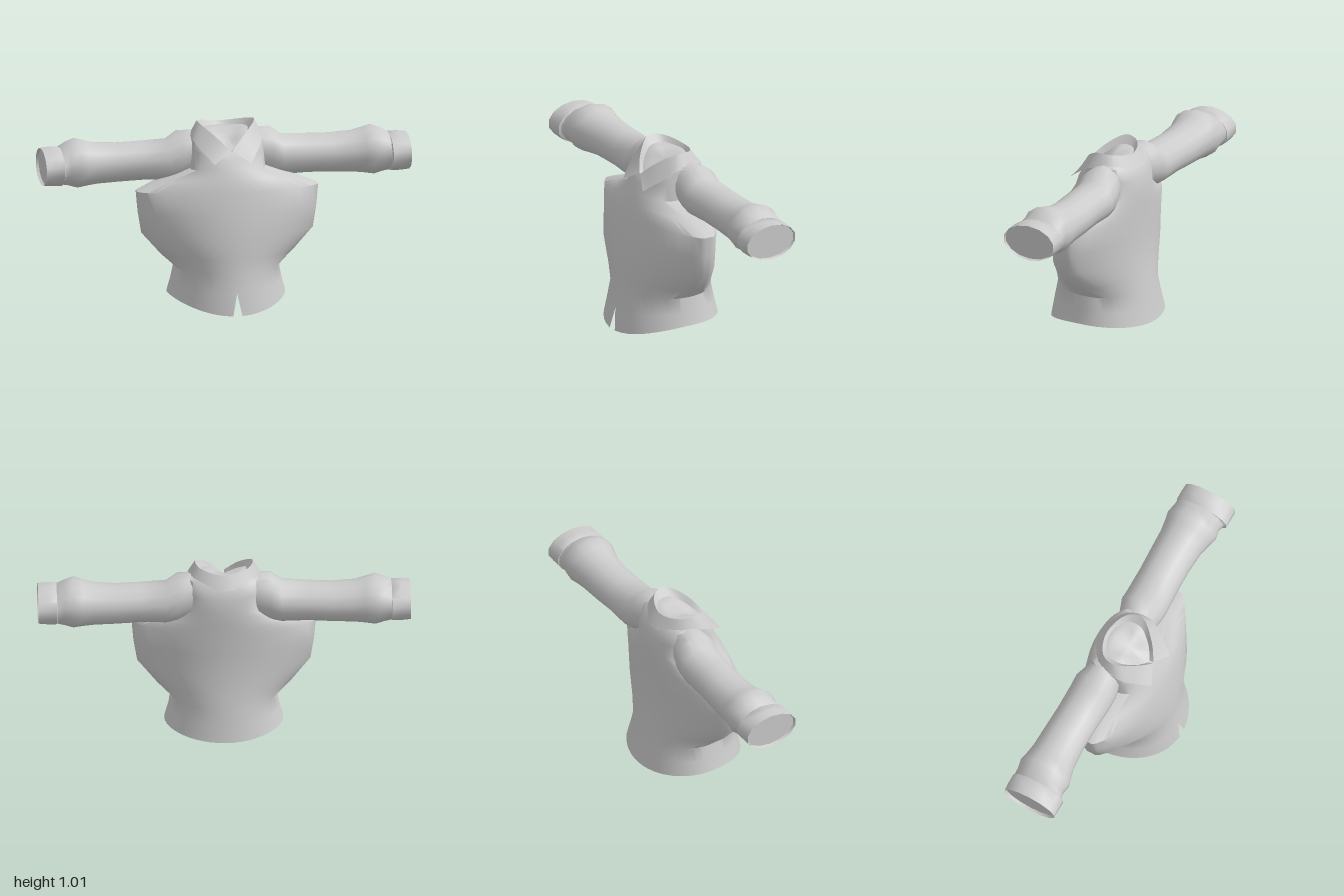
import * as THREE from 'three';
import { mergeVertices, toCreasedNormals } from 'three/addons/utils/BufferGeometryUtils.js';

const fabric = new THREE.MeshStandardMaterial({ color: 0xcccccc, side: THREE.DoubleSide });

// Skin a list of cross-sections (arrays of Vector3 of equal length)
function loft(name, rows, crease) {
  const n = rows[0].length;
  const index = [];
  for (let r = 0; r < rows.length - 1; r++) {
    for (let c = 0; c < n - 1; c++) {
      const a = r * n + c, d = a + n;
      index.push(a, a + 1, d, a + 1, d + 1, d);
    }
  }
  let geometry = new THREE.BufferGeometry().setFromPoints(rows.flat());
  geometry.setIndex(index);
  geometry = toCreasedNormals(mergeVertices(geometry, 1e-4), crease);
  const mesh = new THREE.Mesh(geometry, fabric);
  mesh.name = name;
  return mesh;
}

// Torso rows: y at front, side, back; half width; z at front, side, back; pinch of the sides
const TORSO = [
  [0.00, 0.07, 0.04, 0.32, 0.30, -0.04, -0.30, 1],
  [0.12, 0.14, 0.13, 0.30, 0.28, -0.04, -0.28, 1],
  [0.22, 0.22, 0.22, 0.285, 0.26, -0.03, -0.265, 1],
  [0.30, 0.29, 0.30, 0.36, 0.255, -0.02, -0.25, 1.35],
  [0.41, 0.41, 0.41, 0.465, 0.245, 0.00, -0.235, 1.7],
  [0.53, 0.53, 0.53, 0.485, 0.225, 0.00, -0.23, 1.7],
  [0.65, 0.645, 0.64, 0.495, 0.20, 0.00, -0.23, 1.6],
  [0.72, 0.70, 0.71, 0.36, 0.18, -0.03, -0.23, 1.15],
  [0.77, 0.76, 0.78, 0.21, 0.155, -0.06, -0.23, 0.6],
  [0.82, 0.87, 0.85, 0.20, 0.13, -0.07, -0.22, 0.55],
  [0.85, 0.94, 0.91, 0.195, 0.11, -0.07, -0.20, 0.7],
  [0.865, 0.965, 0.955, 0.13, 0.095, -0.05, -0.155, 1],
  [0.89, 0.955, 0.955, 0.07, 0.04, -0.04, -0.11, 1],
  [0.925, 0.925, 0.925, 0, -0.03, -0.03, -0.03, 1],
];

function torso() {
  const columns = 48;
  const rows = TORSO.map(([yf, ys, yb, w, zf, zs, zb, pinch]) => {
    const row = [];
    // The widest folds end in a flat edge
    const blunt = 1 + Math.max(0, pinch - 1) * 0.08;
    for (let i = 0; i <= columns; i++) {
      const t = (i / columns) * Math.PI * 2;
      const c = Math.cos(t), k = Math.abs(c) ** pinch;
      let x = w * THREE.MathUtils.clamp(blunt * Math.sin(t), -1, 1);
      const y = ys + ((c > 0 ? yf : yb) - ys) * c * c;
      // Notch at the centre of the front hem
      if (yf < 0.05 && (i === 0 || i === columns)) x = i === 0 ? 0.025 : -0.025;
      row.push(new THREE.Vector3(x, y, zs + ((c > 0 ? zf : zb) - zs) * k));
    }
    return row;
  });
  return loft('torso', rows, 0.9);
}

// Sleeve rings: x, bottom y, top y, back z, front z
const SLEEVE = [
  [0.17, 0.71, 0.95, -0.18, 0.02],
  [0.25, 0.685, 0.95, -0.21, 0.035],
  [0.31, 0.68, 0.905, -0.212, 0.033],
  [0.45, 0.685, 0.897, -0.212, 0.025],
  [0.58, 0.68, 0.893, -0.218, 0.022],
  [0.70, 0.675, 0.90, -0.222, 0.03],
  [0.76, 0.668, 0.915, -0.23, 0.045],
  [0.81, 0.66, 0.93, -0.24, 0.06],
  [0.86, 0.675, 0.91, -0.23, 0.05],
  [0.90, 0.685, 0.885, -0.23, 0.06],
];
// The cuff steps out from the sleeve and ends in a shallow recessed disc
const CUFF = [
  [0.895, 0.69, 0.88, -0.225, 0.06],
  [0.90, 0.68, 0.885, -0.236, 0.075],
  [0.95, 0.68, 0.887, -0.236, 0.075],
  [1.00, 0.685, 0.882, -0.234, 0.075],
  [0.985, 0.69, 0.877, -0.23, 0.07],
  [0.985, 0.785, 0.785, -0.08, -0.08],
];

function tube(name, rings, side) {
  const sides = 14;
  const rows = rings.map(([x, y0, y1, z0, z1]) => {
    const row = [];
    for (let i = 0; i <= sides; i++) {
      const t = side * (i / sides) * Math.PI * 2;
      row.push(new THREE.Vector3(
        side * x,
        (y0 + y1) / 2 + Math.cos(t) * (y1 - y0) / 2,
        (z0 + z1) / 2 + Math.sin(t) * (z1 - z0) / 2));
    }
    return row;
  });
  return loft(name, rows, 0.9);
}

// Mirrored curve from the front, around the left side and back, to the front again
function collarLine(half) {
  const points = half.map(p => new THREE.Vector3(...p));
  const mirrored = points.slice(0, -1).reverse().map(p => new THREE.Vector3(-p.x, p.y, p.z));
  const curve = new THREE.CatmullRomCurve3([...points, ...mirrored], false, 'centripetal');
  return curve.getPoints(32);
}

function collar() {
  const outer = collarLine([[0.10, 0.81, 0.17], [0.155, 0.87, 0.09], [0.195, 0.925, 0.0], [0.17, 0.925, -0.13], [0, 0.905, -0.21]]);
  const fold = collarLine([[0.005, 0.87, 0.125], [0.08, 0.945, 0.07], [0.155, 1.005, -0.03], [0.13, 0.995, -0.11], [0, 0.975, -0.16]]);
  const base = collarLine([[0.005, 0.86, 0.10], [0.07, 0.91, 0.055], [0.115, 0.955, -0.02], [0.10, 0.955, -0.10], [0, 0.95, -0.14]]);
  return loft('collar', [outer, fold, base], 0.7);
}

export function createModel() {
  const model = new THREE.Group();
  model.name = 'shirt';
  model.add(torso(), collar());
  for (const [label, side] of [['left', 1], ['right', -1]]) {
    model.add(tube(label + 'Sleeve', SLEEVE, side), tube(label + 'Cuff', CUFF, side));
  }
  return model;
}
